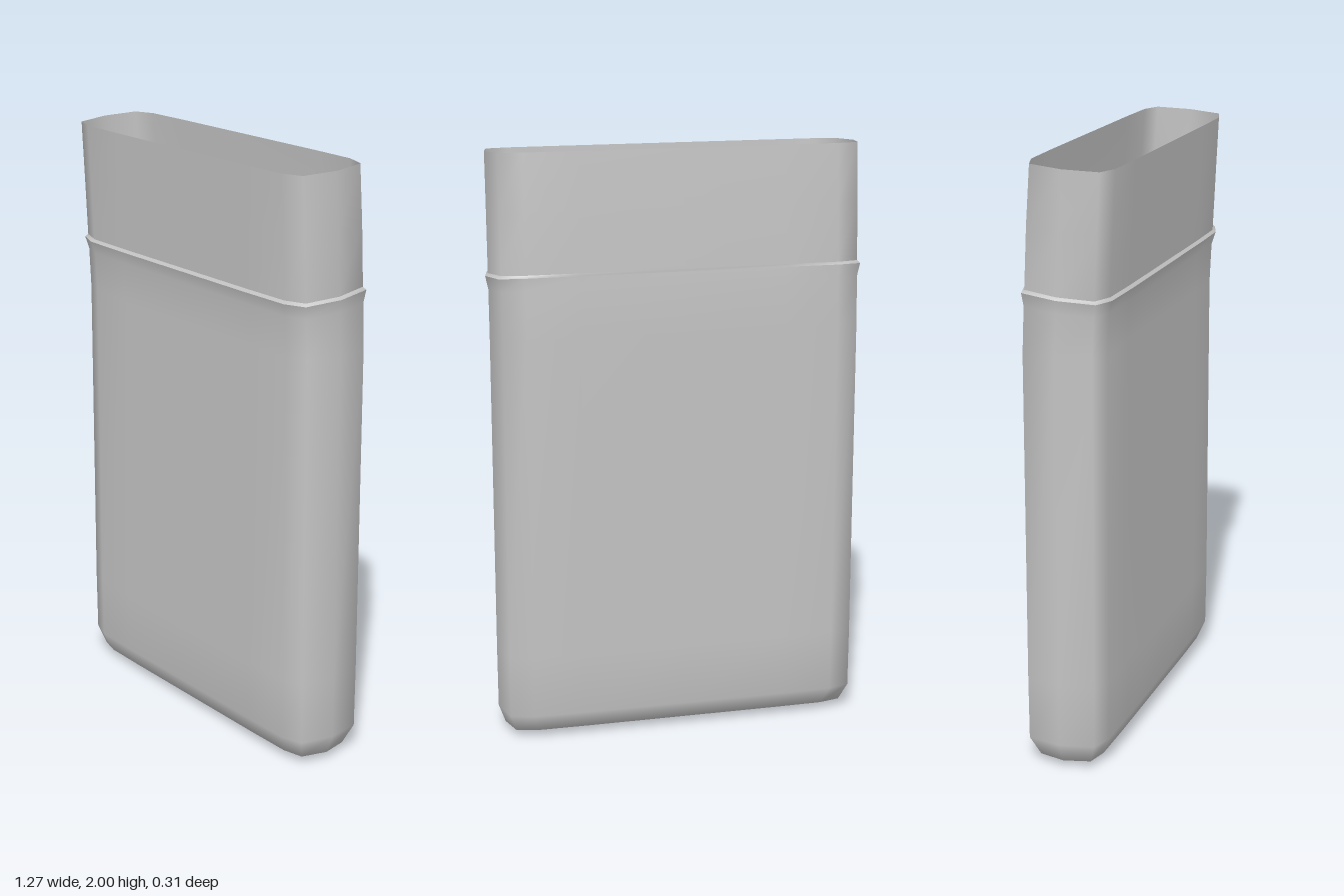
import * as THREE from 'three';
import { mergeVertices } from 'three/addons/utils/BufferGeometryUtils.js';

// Rounded oblong outline, running from +x towards +z: [x, z, ridge strength]
function outline() {
  const front = [[0.627, 0, 1], [0.603, 0.115, 1], [0.528, 0.139, 1], [0.35, 0.142, 1], [0, 0.142, 1]];
  const half = [...front, ...front.slice(0, 4).reverse().map(([x, z, w]) => [-x, z, w])];
  const fade = [1, 1, 0.5, 0, 0];
  const back = half.slice(1, -1).reverse().map(([x, z], i) => [x, -z, fade[Math.min(i, 6 - i) + 1]]);
  return [...half, ...back];
}

// Skin through rings: height y, depth centre cz, scale sx/sz, tilt and outward ridge
function skin(rings) {
  const section = outline();
  const n = section.length;
  const pos = [];
  const index = [];
  for (const { y, cz, sx = 1, sz = 1, tilt = 0, out = 0 } of rings) {
    for (const [x, z, w] of section) {
      const px = x * sx * (1 + (out * w) / 0.627);
      const pz = z * sz * (1 + (out * w) / 0.142);
      pos.push(px, y - tilt * z, cz + pz);
    }
  }
  for (let r = 0; r < rings.length - 1; r++) {
    for (let i = 0; i < n; i++) {
      const a = r * n + i, b = r * n + ((i + 1) % n);
      index.push(a, a + n, b, b, a + n, b + n);
    }
  }
  let g = new THREE.BufferGeometry();
  g.setAttribute('position', new THREE.Float32BufferAttribute(pos, 3));
  g.setIndex(index);
  g = mergeVertices(g, 1e-5);
  g.computeVertexNormals();
  return g;
}

export function createModel() {
  const group = new THREE.Group();
  group.name = 'openCase';
  const grey = new THREE.MeshStandardMaterial({ color: 0xc4c4c4, side: THREE.DoubleSide });
  grey.name = 'grey';

  const add = (name, rings) => {
    const mesh = new THREE.Mesh(skin(rings), grey);
    mesh.name = name;
    group.add(mesh);
  };

  const base = -0.01;
  const seam = { y: 1.597, cz: -0.003, tilt: 0.08 };
  const lip = { ...seam, y: 1.588, out: 0.009 };

  // Pouch with a wedge-shaped bottom, flaring into a small lip at the seam
  add('body', [
    { y: 0, cz: 0, sx: 0.85, sz: 0 },
    { y: 0.025, cz: -0.005, sx: 0.96, sz: 0.76 },
    { y: 0.09, cz: base, sx: 0.998, sz: 0.985 },
    { y: 0.3, cz: base },
    { y: 1.4, cz: base - 0.002 },
    { y: 1.545, cz: -0.006, tilt: 0.07 },
    lip,
  ]);

  // Narrow ledge on top of the lip, dying out across the back
  add('seamLedge', [lip, seam]);

  // Open upper sleeve leaning forwards
  add('upperSleeve', [
    seam,
    { y: 1.8, cz: 0.006, tilt: 0.065 },
    { y: 1.992, cz: 0.017, sz: 0.985, tilt: 0.055 },
  ]);

  return group;
}
